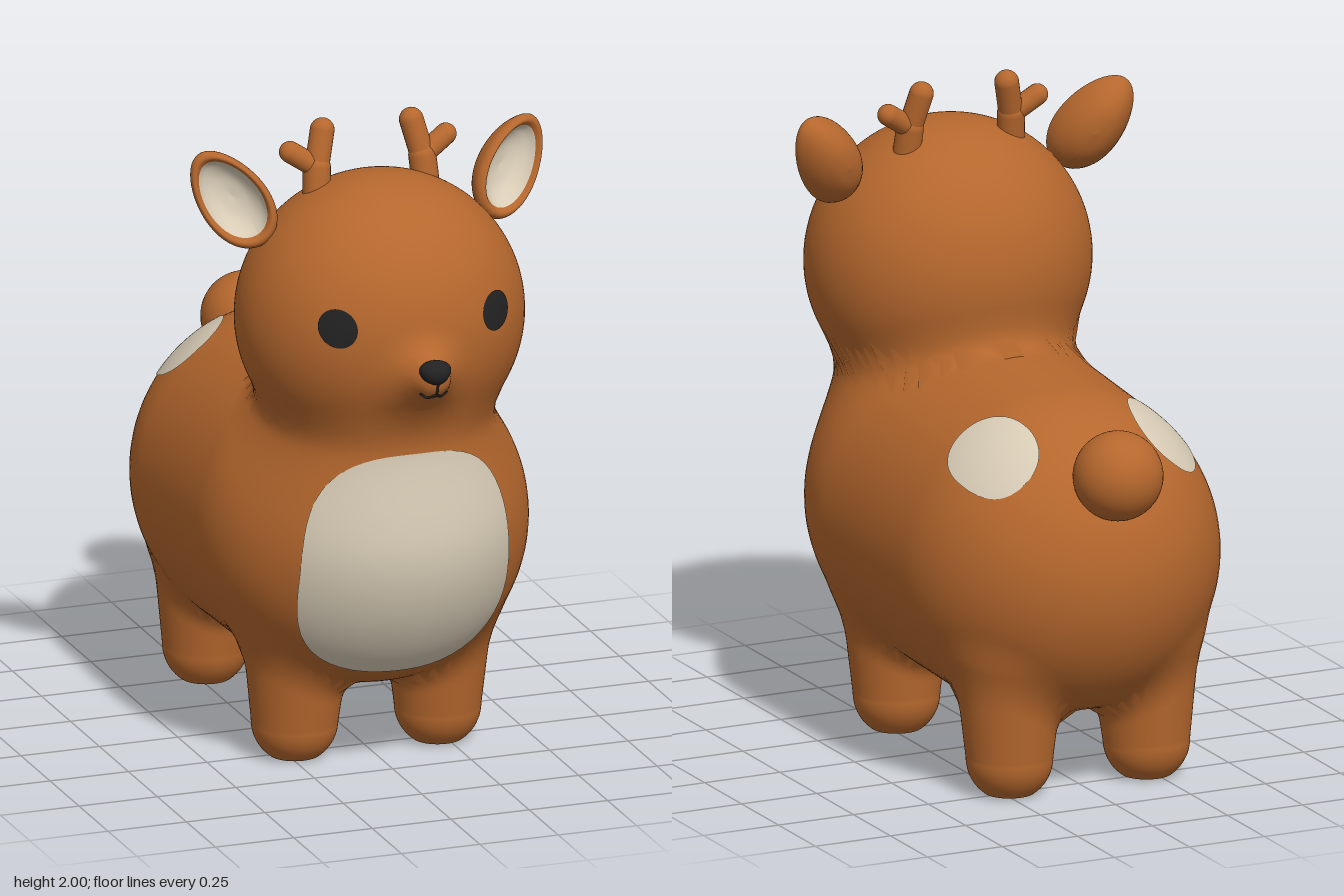
import * as THREE from 'three';

const V = (x, y, z) => new THREE.Vector3(x, y, z);
const mat = (name, color, side = THREE.FrontSide) => {
  const m = new THREE.MeshStandardMaterial({ color, side });
  m.name = name;
  return m;
};

// ---- Soft body field: negative inside, positive outside ----
const smin = (a, b, k) => {
  const h = Math.max(k - Math.abs(a - b), 0) / k;
  return Math.min(a, b) - h * h * k * 0.25;
};
const smax = (a, b, k) => -smin(-a, -b, k);

// Rounded limb running from a to b with a changing radius
function limb(p, a, b, ra, rb) {
  const ab = b.clone().sub(a), ap = p.clone().sub(a);
  const h = THREE.MathUtils.clamp(ap.dot(ab) / ab.lengthSq(), 0, 1);
  return ap.addScaledVector(ab, -h).length() - (ra + (rb - ra) * h);
}
function ellipsoid(p, c, r) {
  const q = p.clone().sub(c).divide(r), k0 = q.length();
  return k0 * (k0 - 1) / q.divide(r).length();
}

const HEAD = V(0, 1.41, 0.385), HEAD_R = V(0.44, 0.435, 0.4);
const TORSO_A = V(0, 0.715, 0.2), TORSO_B = V(0, 0.685, -0.32);
const NECK_A = V(0, 0.78, 0.365), NECK_B = V(0, 1.2, 0.36);
const MUZZLE_A = V(0, 1.315, 0.68), MUZZLE_B = V(0, 1.338, 0.83);
const LEG_Z = [0.27, -0.495], LEG_X = 0.228;
const LEGS = LEG_Z.map(z => [V(LEG_X, 0.11, z), V(LEG_X - 0.005, 0.42, z + 0.01)]);

function field(p) {
  let d = limb(V(p.x * 1.02, p.y, p.z), TORSO_A, TORSO_B, 0.52, 0.512);
  d = smax(d, 0.23 - p.y, 0.06);
  d = smin(d, limb(p, NECK_A, NECK_B, 0.345, 0.34), 0.1);
  const mirrored = V(Math.abs(p.x), p.y, p.z);
  for (const [a, b] of LEGS) d = smin(d, limb(mirrored, a, b, 0.131, 0.168), 0.07);
  let head = ellipsoid(p, HEAD, HEAD_R);
  head = smin(head, limb(p, MUZZLE_A, MUZZLE_B, 0.12, 0.06), 0.09);
  return Math.max(smin(d, head, 0.06), -p.y);
}
function slope(p) {
  const e = 0.002;
  const g = axis => {
    const a = p.clone(), b = p.clone();
    a[axis] += e;
    b[axis] -= e;
    return field(a) - field(b);
  };
  return V(g('x'), g('y'), g('z')).normalize();
}

// Move every vertex by a rule and take the normal from the field
function mould(geo, rule) {
  const pos = geo.attributes.position, nor = geo.attributes.normal;
  for (let i = 0; i < pos.count; i++) {
    const p = rule(V(pos.getX(i), pos.getY(i), pos.getZ(i)));
    const n = slope(p);
    pos.setXYZ(i, p.x, p.y, p.z);
    nor.setXYZ(i, n.x, n.y, n.z);
  }
  return geo;
}

// Ball swollen from a centre until it meets the body surface or its limits
function swell(centre, yMin, yMax, rMax, seg) {
  return mould(new THREE.SphereGeometry(1, seg, Math.round(seg * 0.66)), dir => {
    dir.normalize();
    const lim = dir.y > 0 ? (yMax - centre.y) / dir.y : (yMin - centre.y) / Math.min(dir.y, -1e-6);
    const tMax = Math.min(rMax, lim);
    let t = 0.05;
    for (let i = 0; i < 70 && t < tMax; i++) t -= field(centre.clone().addScaledVector(dir, t)) * 0.8;
    return centre.clone().addScaledVector(dir, Math.min(t, tMax));
  });
}

// Drop a point along a direction onto the body, lifted slightly
function drop(p, dir, lift = 0.004) {
  const q = p.clone();
  for (let i = 0; i < 70; i++) q.addScaledVector(dir, field(q) * 0.8);
  return q.addScaledVector(slope(q), lift);
}

// Thin marking: disc laid on the body; place() maps disc coordinates to a start point
function marking(place, dir, power = 2) {
  return mould(new THREE.RingGeometry(0, 1, 64, 14), p => {
    const r = Math.hypot(p.x, p.y);
    const f = r > 0 ? r / Math.pow(Math.abs(p.x) ** power + Math.abs(p.y) ** power, 1 / power) : 1;
    return drop(place(p.x * f, p.y * f), dir);
  });
}

// Round-ended rod between two points
function rod(a, b, r) {
  const d = b.clone().sub(a);
  const g = new THREE.CapsuleGeometry(r, d.length(), 10, 20);
  g.applyQuaternion(new THREE.Quaternion().setFromUnitVectors(V(0, 1, 0), d.normalize()));
  const mid = a.clone().add(b).multiplyScalar(0.5);
  return g.translate(mid.x, mid.y, mid.z);
}

// Ear piece: turned profile facing +z, squashed to an oval with a narrower tip
function earPiece(profile) {
  const curve = new THREE.SplineCurve(profile.map(([r, h]) => new THREE.Vector2(r, h)));
  const pts = curve.getPoints(24);
  pts.forEach(q => { q.x = Math.max(q.x, 0); });
  const g = new THREE.LatheGeometry(pts, 48).rotateX(Math.PI / 2);
  const pos = g.attributes.position;
  for (let i = 0; i < pos.count; i++) {
    const x = pos.getX(i), y = pos.getY(i);
    pos.setXY(i, x * 0.102 * (1 - 0.14 * y), y * 0.168);
  }
  g.computeVertexNormals();
  return g;
}

export function createModel() {
  const brown = mat('brown fur', 0xb5672d);
  const cream = mat('cream fur', 0xd8ccb6, THREE.DoubleSide);
  const black = mat('black', 0x222222, THREE.DoubleSide);
  const root = new THREE.Group();
  root.name = 'fawn';
  const add = (name, geo, material, parent = root) => {
    const m = new THREE.Mesh(geo, material);
    m.name = name;
    parent.add(m);
    return m;
  };

  // Torso, head and tail
  add('torso', swell(V(0, 0.7, -0.05), 0.225, 1.25, 1.2, 120), brown);
  add('head', swell(HEAD, 1.08, 2, 0.6, 120), brown);
  add('tail', new THREE.SphereGeometry(0.136, 40, 28).translate(0, 1.029, -0.767), brown);

  // Chest patch
  add('chestPatch', marking((u, v) => V(u * (0.33 - 0.02 * v), 0.695 + v * 0.365, 1.1), V(0, 0, -1), 2.7), cream);

  // Nose and mouth
  const nose = new THREE.SphereGeometry(1, 32, 24);
  const np = nose.attributes.position;
  for (let i = 0; i < np.count; i++) np.setX(i, np.getX(i) * (0.85 + 0.2 * np.getY(i)));
  nose.scale(0.056, 0.038, 0.04).translate(0, 1.366, 0.866);
  nose.computeVertexNormals();
  add('nose', nose, black);
  const line = pts => new THREE.TubeGeometry(new THREE.CatmullRomCurve3(
    pts.map(([x, y]) => drop(V(x, y, 1.05), V(0, 0, -1), 0.001))), 24, 0.004, 6);
  add('mouth', line([[-0.042, 1.302], [-0.022, 1.287], [0, 1.3], [0.022, 1.287], [0.042, 1.302]]), black);
  add('lipLine', line([[0, 1.345], [0, 1.32], [0, 1.298]]), black);

  for (const s of [1, -1]) {
    const side = s > 0 ? 'left' : 'right';

    // Legs
    LEG_Z.forEach((z, i) => add(side + (i ? 'BackLeg' : 'FrontLeg'),
      swell(V(s * LEG_X, 0.14, z), 0, 0.46, 0.3, 56), brown));

    // Eyes and back spots
    add(side + 'Eye', marking((u, v) => V(s * 0.249 + u * 0.051, 1.483 + v * 0.058, 1.1), V(0, 0, -1)), black);
    add(side + 'BackSpot', marking((u, v) =>
      V(s * (0.278 - 0.032 * v) + u * 0.103, 1.5, -0.49 - v * 0.148), V(0, -1, 0), 2.2), cream);

    // Cupped ears leaning back and outward
    const ear = new THREE.Group();
    ear.name = side + 'Ear';
    const up = V(s * 0.16, 0.24, -0.09).normalize();
    const face = V(s * 0.38, 0.2, 0.89);
    face.addScaledVector(up, -face.dot(up)).normalize();
    ear.quaternion.setFromRotationMatrix(new THREE.Matrix4().makeBasis(up.clone().cross(face), up, face));
    ear.position.set(s * 0.437, 1.79, 0.295);
    add('earShell', earPiece([[0, -0.085], [0.45, -0.073], [0.82, -0.035], [1, 0.012], [0.96, 0.036], [0.87, 0.04], [0.79, 0.026]]), brown, ear);
    add('earLining', earPiece([[0.79, 0.026], [0.66, 0.002], [0.4, -0.02], [0, -0.03]]), cream, ear);
    root.add(ear);

    // Two-tined antlers
    const antler = new THREE.Group();
    antler.name = side + 'Antler';
    const fork = V(s * 0.168, 1.855, 0.3);
    add('antlerStem', rod(V(s * 0.175, 1.76, 0.315), fork, 0.042), brown, antler);
    add('tallTine', rod(fork, V(s * 0.142, 1.963, 0.276), 0.037), brown, antler);
    add('shortTine', rod(fork, V(s * 0.248, 1.908, 0.285), 0.033), brown, antler);
    root.add(antler);
  }
  return root;
}
